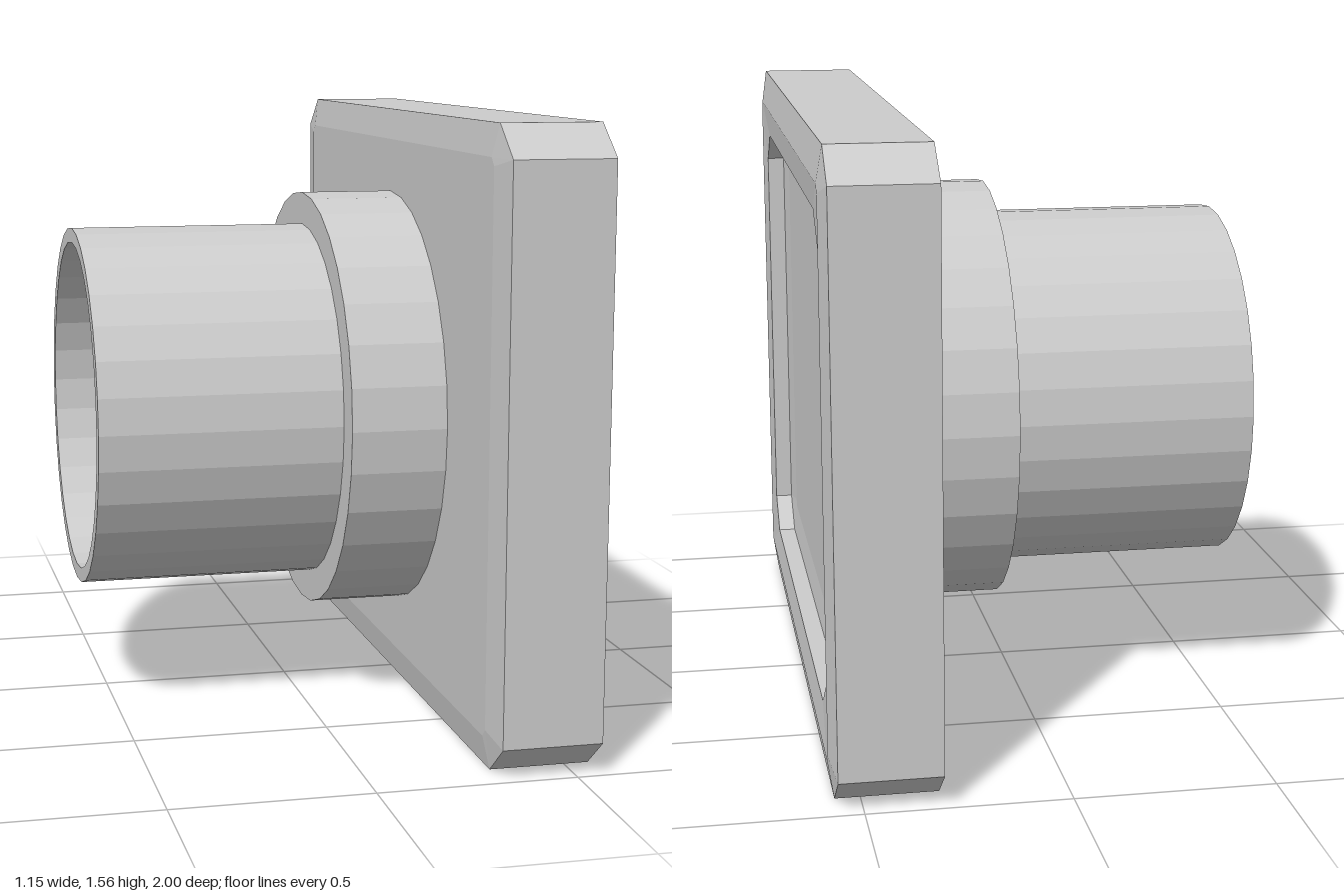
import * as THREE from 'three';

const CY = 0.78; // height of the common axis
const material = new THREE.MeshStandardMaterial({
  color: 0xcccccc, flatShading: true, side: THREE.DoubleSide,
});

// Rectangle with cut corners in the y-z plane at a given x.
function octagon(x, hy, hz, cy, cz) {
  return [
    [hy - cy, hz], [hy, hz - cz], [hy, -hz + cz], [hy - cy, -hz],
    [-hy + cy, -hz], [-hy, -hz + cz], [-hy, hz - cz], [-hy + cy, hz],
  ].map(([y, z]) => [x, CY + y, z]);
}

// Joins successive cross-sections and caps both ends.
function loft(rings) {
  const n = rings[0].length, index = [];
  const points = rings.flat();
  for (let r = 0; r < rings.length - 1; r++) {
    for (let i = 0; i < n; i++) {
      const a = r * n + i, b = r * n + (i + 1) % n;
      index.push(a, a + n, b, b, a + n, b + n);
    }
  }
  const last = (rings.length - 1) * n;
  for (let i = 1; i < n - 1; i++) {
    index.push(0, i, i + 1);
    index.push(last, last + i + 1, last + i);
  }
  const g = new THREE.BufferGeometry();
  g.setAttribute('position', new THREE.Float32BufferAttribute(points.flat(), 3));
  g.setIndex(index);
  const flat = g.toNonIndexed();
  flat.computeVertexNormals();
  return flat;
}

export function createModel() {
  const group = new THREE.Group();

  // Plate: slightly crowned back and rim, with a shallow dished recess in front
  const plate = new THREE.Mesh(loft([
    octagon(0.297, 0.7, 0.9, 0.02, 0.02),
    octagon(0.31, 0.78, 1, 0.08, 0.1),
    octagon(0.562, 0.78, 1, 0.08, 0.1),
    octagon(0.576, 0.69, 0.9, 0.02, 0.02),
    octagon(0.568, 0.607, 0.81, 0.08, 0.1),
    octagon(0.522, 0.607, 0.81, 0.08, 0.1),
    octagon(0.514, 0.53, 0.71, 0.02, 0.02),
  ]), material);
  plate.name = 'recessedPlate';
  group.add(plate);

  // Hollow pipe with a thicker collar against the plate
  const profile = [
    [0.437, 0.3], [0.437, -0.576], [0.475, -0.576],
    [0.475, 0.05], [0.56, 0.05], [0.56, 0.3],
  ].map(([r, h]) => new THREE.Vector2(r, h));
  const pipe = new THREE.Mesh(new THREE.LatheGeometry(profile, 32), material);
  pipe.rotation.z = -Math.PI / 2;
  pipe.position.y = CY;
  pipe.name = 'collaredPipe';
  group.add(pipe);

  return group;
}
